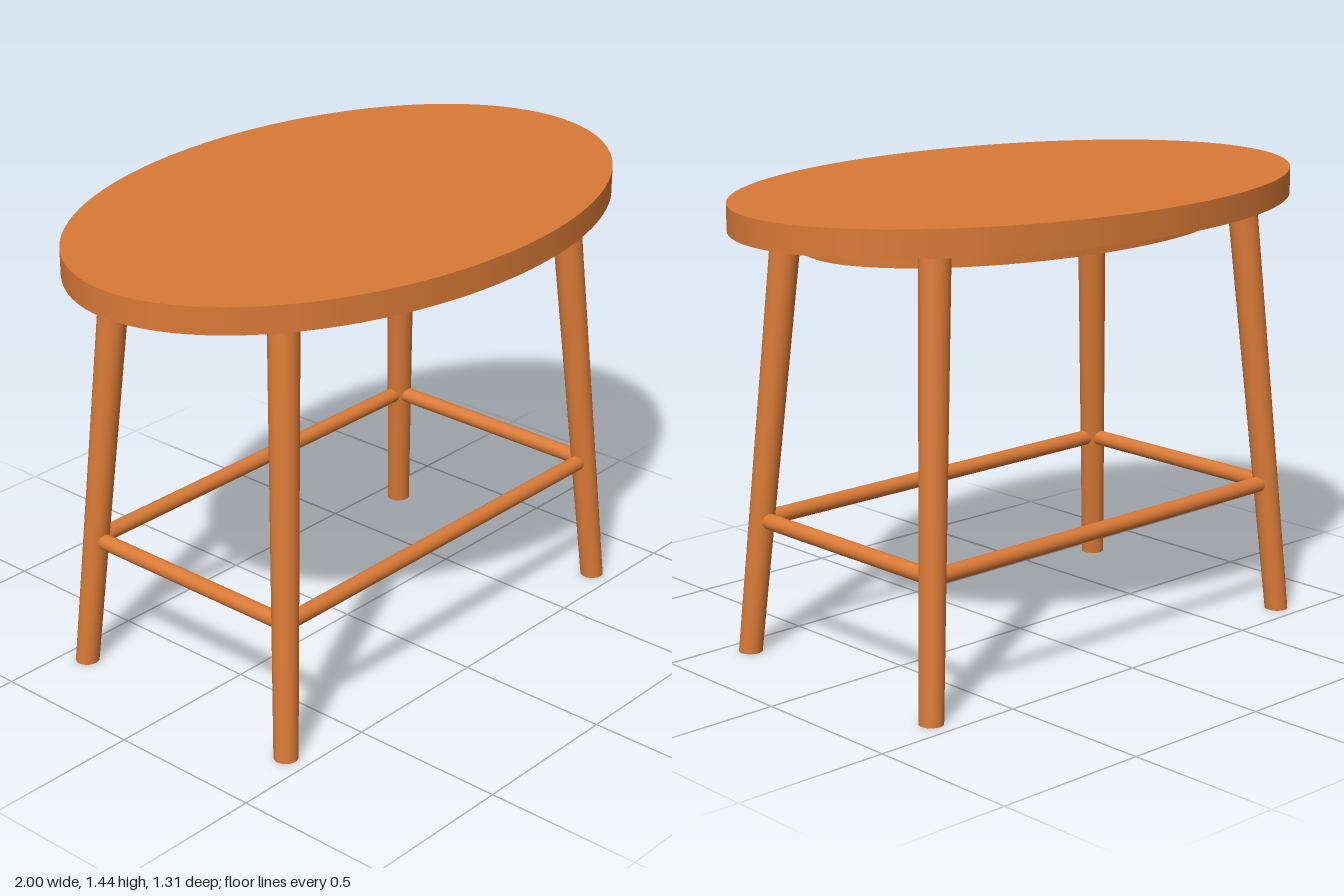
import * as THREE from 'three';

export function createModel() {
  const table = new THREE.Group();
  table.name = 'ovalTable';
  const wood = new THREE.MeshStandardMaterial({ color: 0xd97a36 });
  wood.name = 'warmWood';

  const add = (name, geometry) => {
    const mesh = new THREE.Mesh(geometry, wood);
    mesh.name = name;
    table.add(mesh);
    return mesh;
  };

  // Elliptical slab between two heights
  const ovalSlab = (name, rx, rz, y0, y1) => {
    const g = new THREE.CylinderGeometry(1, 1, y1 - y0, 96);
    g.scale(rx, 1, rz);
    g.translate(0, (y0 + y1) / 2, 0);
    add(name, g);
  };
  ovalSlab('tableTop', 1, 0.653, 1.36, 1.443);
  ovalSlab('apron', 0.77, 0.46, 1.293, 1.361);

  // Leg axis: splayed outward towards the floor
  const legTop = 1.361;
  const foot = { x: 0.75, z: 0.424 };
  const head = { x: 0.64, z: 0.332 };
  const axisAt = (y) => ({
    x: THREE.MathUtils.lerp(foot.x, head.x, y / legTop),
    z: THREE.MathUtils.lerp(foot.z, head.z, y / legTop),
  });

  // Tapered legs, sheared so both ends stay level
  for (const sx of [-1, 1]) {
    for (const sz of [-1, 1]) {
      const g = new THREE.CylinderGeometry(0.047, 0.037, legTop, 32);
      g.translate(0, legTop / 2, 0);
      const kx = (sx * (head.x - foot.x)) / legTop;
      const kz = (sz * (head.z - foot.z)) / legTop;
      g.applyMatrix4(new THREE.Matrix4().set(
        1, kx, 0, sx * foot.x,
        0, 1, 0, 0,
        0, kz, 1, sz * foot.z,
        0, 0, 0, 1,
      ));
      add((sz > 0 ? 'front' : 'back') + (sx > 0 ? 'Left' : 'Right') + 'Leg', g);
    }
  }

  // Stretchers joining the legs on all four sides
  const railY = 0.426;
  const corner = axisAt(railY);
  for (const s of [-1, 1]) {
    const long = new THREE.CylinderGeometry(0.025, 0.025, corner.x * 2, 24);
    long.rotateZ(Math.PI / 2);
    add(s > 0 ? 'frontStretcher' : 'backStretcher', long).position.set(0, railY, s * corner.z);

    const short = new THREE.CylinderGeometry(0.025, 0.025, corner.z * 2, 24);
    short.rotateX(Math.PI / 2);
    add(s > 0 ? 'leftStretcher' : 'rightStretcher', short).position.set(s * corner.x, railY, 0);
  }

  return table;
}
